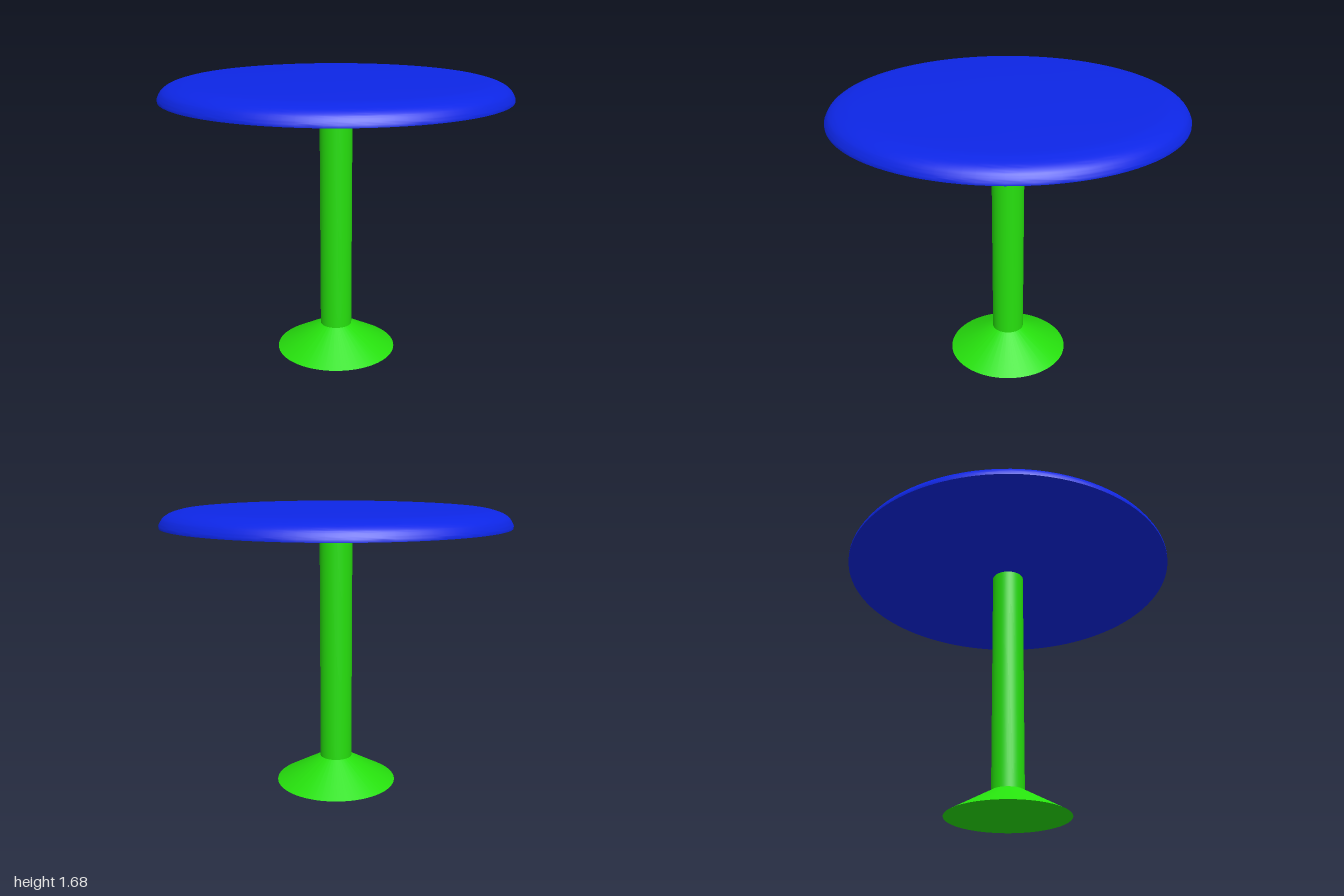
import * as THREE from 'three';
import { toCreasedNormals } from 'three/addons/utils/BufferGeometryUtils.js';

const SEGMENTS = 96;

// Revolves a bottom-to-top profile of [radius, height] points, keeping sharp edges
function turned(name, profile, material) {
  const points = profile.map(([r, y]) => new THREE.Vector2(r, y));
  const geometry = toCreasedNormals(new THREE.LatheGeometry(points, SEGMENTS), 0.5);
  const mesh = new THREE.Mesh(geometry, material);
  mesh.name = name;
  return mesh;
}

export function createModel() {
  const blue = new THREE.MeshStandardMaterial({ color: 0x0d26e6 });
  const green = new THREE.MeshStandardMaterial({ color: 0x26e00d });
  const group = new THREE.Group();
  group.name = 'pedestalTable';

  // Flared conical foot
  group.add(turned('foot', [[0, 0], [0.36, 0], [0.095, 0.15]], green));

  // Straight column, reaching just inside the top
  const column = new THREE.Mesh(new THREE.CylinderGeometry(0.095, 0.095, 1.41, SEGMENTS, 1, true), green);
  column.name = 'column';
  column.position.y = 0.15 + 1.41 / 2;
  group.add(column);

  // Round top: shallow underside, short vertical lip, rounded shoulder, gentle crown
  const shoulder = new THREE.SplineCurve([
    [1, 1.57], [0.99, 1.59], [0.975, 1.61], [0.945, 1.63], [0.9, 1.645],
    [0.84, 1.655], [0.65, 1.664], [0.3, 1.674], [0, 1.675],
  ].map(([r, y]) => new THREE.Vector2(r, y)));
  const topProfile = [[0, 1.543], [0.5, 1.547], [1, 1.555]];
  for (const p of shoulder.getPoints(32)) topProfile.push([Math.max(0, p.x), p.y]);
  group.add(turned('tableTop', topProfile, blue));

  return group;
}
